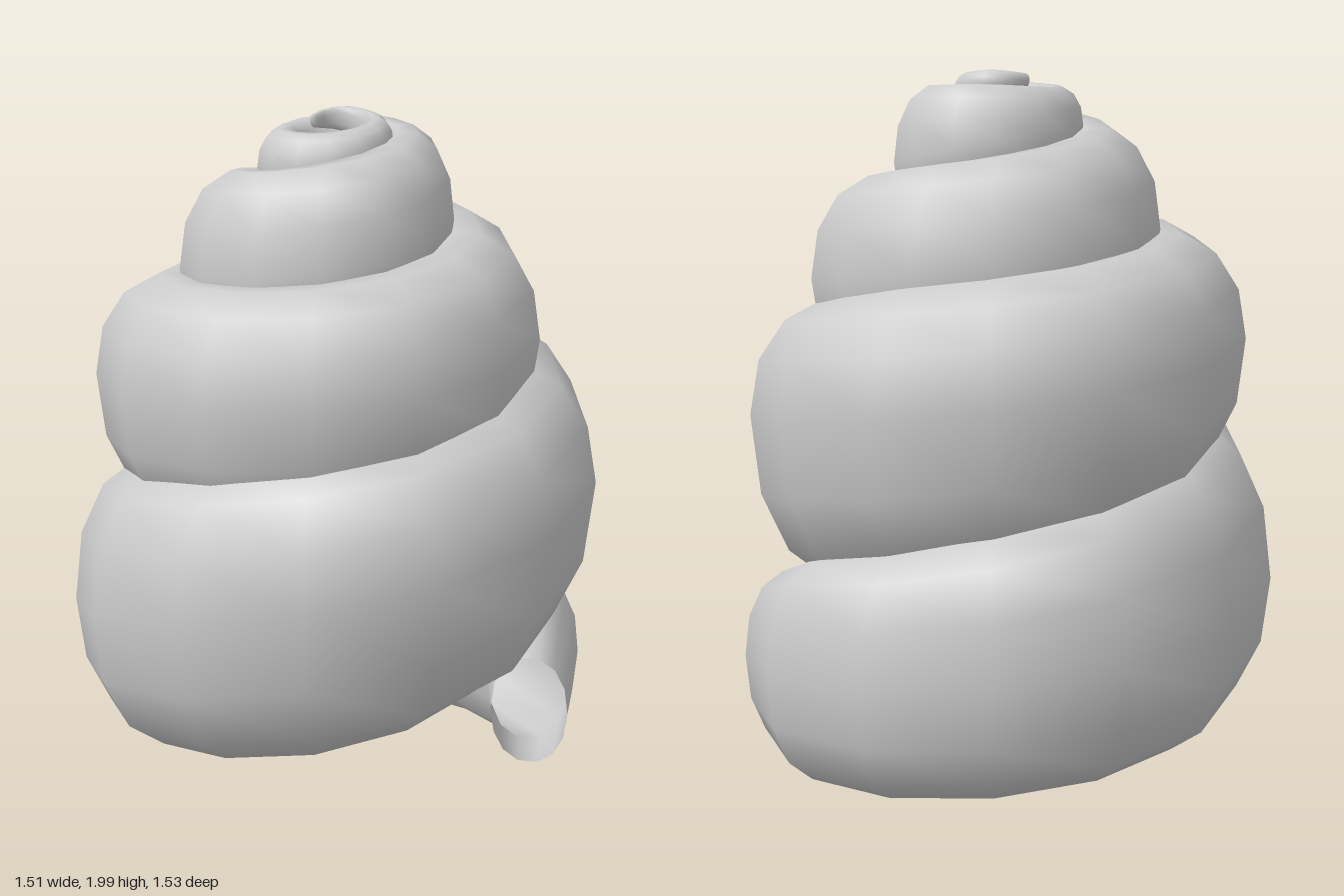
import * as THREE from 'three';

const STEPS_PER_TURN = 13;
const STEPS = 58;
const SIDES = 14;

// Whorl keys: [angle in degrees, outer radius, bottom, belly height, top, half width]
const KEYS = [
  [0, 0.70, 0.07, 0.24, 0.41, 0.115],
  [28, 0.77, 0.01, 0.29, 0.55, 0.15],
  [55, 0.78, 0.00, 0.33, 0.65, 0.18],
  [90, 0.77, 0.02, 0.36, 0.73, 0.20],
  [180, 0.78, 0.11, 0.50, 0.97, 0.26],
  [270, 0.77, 0.27, 0.79, 1.15, 0.29],
  [360, 0.757, 0.45, 0.97, 1.32, 0.31],
  [450, 0.705, 0.62, 1.10, 1.44, 0.27],
  [540, 0.705, 0.82, 1.23, 1.535, 0.25],
  [630, 0.635, 0.95, 1.31, 1.60, 0.24],
  [720, 0.585, 1.07, 1.38, 1.68, 0.23],
  [810, 0.50, 1.20, 1.46, 1.76, 0.205],
  [900, 0.457, 1.30, 1.54, 1.83, 0.20],
  [990, 0.39, 1.40, 1.61, 1.895, 0.175],
  [1080, 0.335, 1.53, 1.71, 1.955, 0.145],
  [1170, 0.283, 1.65, 1.79, 1.965, 0.105],
  [1260, 0.23, 1.73, 1.835, 1.95, 0.08],
  [1350, 0.19, 1.80, 1.875, 1.96, 0.07],
  [1440, 0.16, 1.87, 1.925, 1.985, 0.05],
  [1530, 0.115, 1.93, 1.965, 2.00, 0.026],
  [1620, 0.08, 1.95, 1.97, 1.985, 0.014],
];

// Interpolated whorl section at an angle
function sectionAt(deg) {
  let i = 0;
  while (i < KEYS.length - 2 && KEYS[i + 1][0] < deg) i++;
  const a = KEYS[i], b = KEYS[i + 1];
  const t = (deg - a[0]) / (b[0] - a[0]);
  return a.map((v, k) => THREE.MathUtils.lerp(v, b[k], t));
}

// Slightly squared cosine or sine, for a fuller section than an ellipse
const squared = (v) => Math.sign(v) * Math.abs(v) ** 0.92;

// Tube swept up a narrowing helix, open at the mouth
function whorlGeometry() {
  const positions = [], indices = [];
  for (let i = 0; i <= STEPS; i++) {
    const deg = (i * 360) / STEPS_PER_TURN;
    const angle = THREE.MathUtils.degToRad(deg);
    const [, outer, bottom, belly, top, halfWidth] = sectionAt(deg);
    // The inner wall flattens towards the spire, leaving the axis hollow
    const innerWidth = halfWidth * THREE.MathUtils.lerp(1, 0.5, Math.min(deg / 1080, 1));
    for (let j = 0; j < SIDES; j++) {
      const a = (j / SIDES) * Math.PI * 2;
      const c = squared(Math.cos(a)), s = squared(Math.sin(a));
      const r = outer - halfWidth + c * (c > 0 ? halfWidth : innerWidth);
      const y = belly + s * (s > 0 ? top - belly : belly - bottom);
      positions.push(r * Math.cos(angle), y, -r * Math.sin(angle));
    }
  }
  for (let i = 0; i < STEPS; i++) {
    for (let j = 0; j < SIDES; j++) {
      const a = i * SIDES + j, b = i * SIDES + ((j + 1) % SIDES);
      const c = a + SIDES, d = b + SIDES;
      indices.push(a, c, b, b, c, d);
    }
  }
  // Closed tip
  const last = STEPS * SIDES;
  for (let j = 1; j < SIDES - 1; j++) indices.push(last, last + j + 1, last + j);
  const geometry = new THREE.BufferGeometry();
  geometry.setAttribute('position', new THREE.Float32BufferAttribute(positions, 3));
  geometry.setIndex(indices);
  geometry.computeVertexNormals();
  return geometry;
}

export function createModel() {
  const group = new THREE.Group();
  group.name = 'spiralShell';
  const material = new THREE.MeshStandardMaterial({ color: 0xcccccc, side: THREE.DoubleSide });
  const whorls = new THREE.Mesh(whorlGeometry(), material);
  whorls.name = 'shellWhorls';
  group.add(whorls);
  return group;
}
